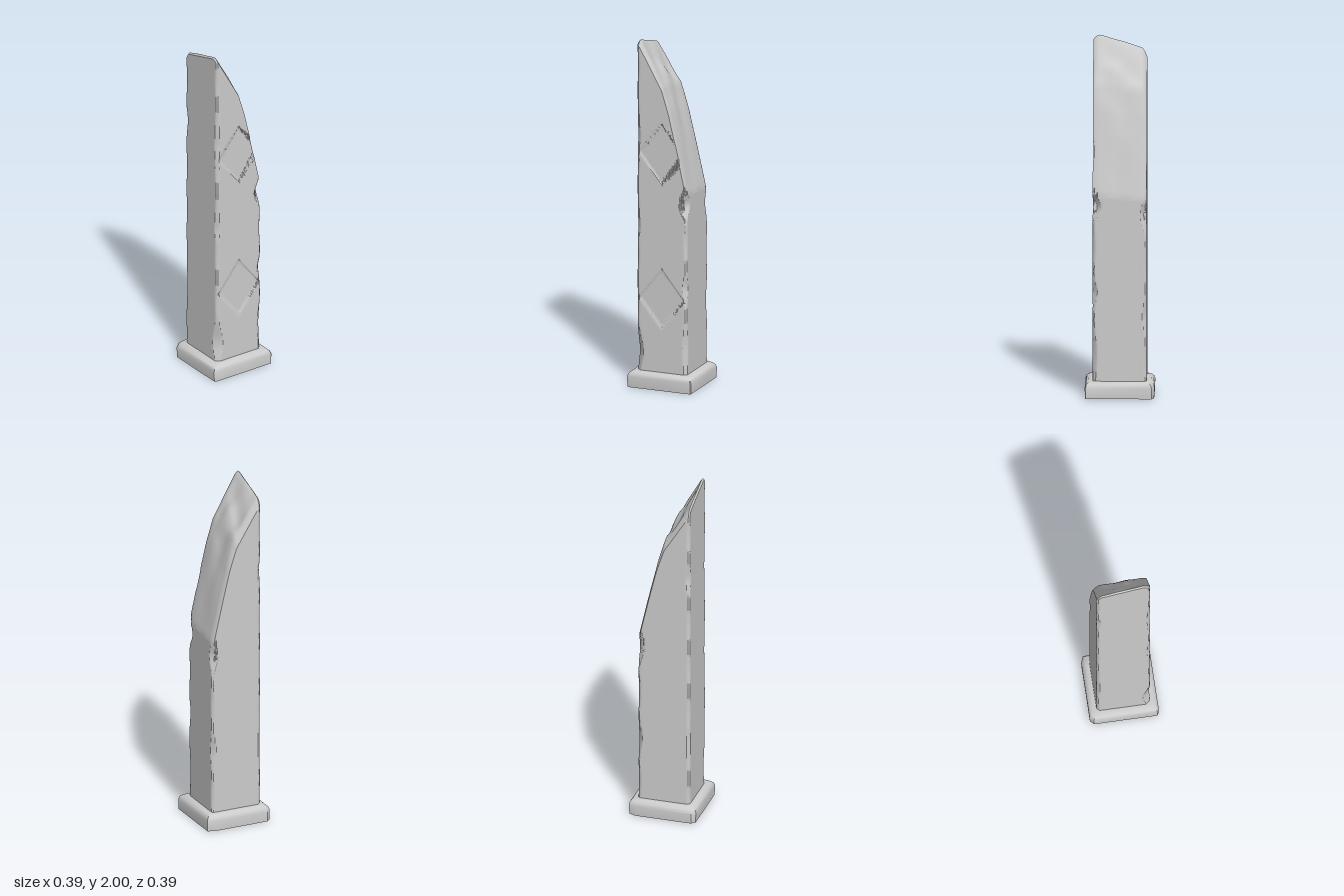
import * as THREE from 'three';
import { toCreasedNormals } from 'three/addons/utils/BufferGeometryUtils.js';

const H = 0.15; // half width of the shaft
const stone = new THREE.MeshStandardMaterial({ color: 0xcccccc });
const { clamp, smoothstep, lerp } = THREE.MathUtils;

// Slanted break, as (z, y) from the back edge to the front peak
const breakLine = [[-0.15, 1.13], [-0.12, 1.27], [-0.08, 1.45], [-0.04, 1.62],
  [0, 1.75], [0.05, 1.84], [0.1, 1.93], [0.14, 2.0], [0.15, 1.99]];

// Chips along the vertical edges: sign x, sign z, height, spread, depth
const chips = [
  [1, -1, 1.07, 0.06, 0.035], [1, -1, 0.6, 0.05, 0.012], [1, -1, 0.2, 0.12, 0.012],
  [1, 1, 0.2, 0.12, 0.026], [1, 1, 0.92, 0.06, 0.012], [1, 1, 1.45, 0.07, 0.012],
  [-1, -1, 1.03, 0.07, 0.022], [-1, -1, 0.45, 0.08, 0.01],
  [-1, 1, 0.5, 0.06, 0.008], [-1, 1, 1.5, 0.05, 0.008],
];

function breakHeight(x, z) {
  let i = 0;
  while (i < breakLine.length - 2 && z > breakLine[i + 1][0]) i++;
  const [a, b] = [breakLine[i], breakLine[i + 1]];
  let y = lerp(a[1], b[1], clamp((z - a[0]) / (b[0] - a[0]), 0, 1));
  const front = (z + H) / (2 * H);
  // lower towards -x, rounded at both sides
  y -= lerp(0.02, 0.07, front) * Math.max(0, 0.11 - x) / 0.23;
  const rim = clamp((Math.abs(x) - 0.115) / 0.035, 0, 1);
  y -= rim * rim * (x < 0 ? 0.045 : 0.025);
  // shallow lumps over the broken stone
  const inner = (1 - (x / H) ** 2) * (1 - (z / H) ** 2);
  return y + inner * 0.012 * (Math.sin(x * 38 + z * 21) + Math.sin(z * 60 - x * 17));
}

function edgeCut(sx, sz, y) {
  let c = 0.012 + 0.003 * Math.sin(y * 23 + sx * 2 + sz);
  for (const [cx, cz, cy, spread, depth] of chips)
    if (cx === sx && cz === sz) c += depth * Math.exp(-(((y - cy) / spread) ** 2));
  return c;
}

// 1 inside a diamond on the side face, 0 outside
function diamond(y, z, cy) {
  return 1 - smoothstep(Math.abs(z) / 0.14 + Math.abs(y - cy) / 0.175, 0.94, 1.0);
}

function shaftGeometry() {
  const geo = new THREE.BoxGeometry(2 * H, 1, 2 * H, 36, 190, 36);
  const p = geo.attributes.position;
  for (let i = 0; i < p.count; i++) {
    let x = p.getX(i), z = p.getZ(i);
    const y = lerp(0.07, breakHeight(x, z), p.getY(i) + 0.5);
    const sx = x < 0 ? -1 : 1, sz = z < 0 ? -1 : 1;
    const onSide = x > H - 1e-4;
    // worn edges
    const over = Math.abs(x) + Math.abs(z) - (2 * H - edgeCut(sx, sz, y));
    if (over > 0) {
      x -= sx * over / 2;
      z -= sz * over / 2;
    }
    // sunken diamonds
    if (onSide) x -= 0.006 * Math.max(diamond(y, z, 0.52), diamond(y, z, 1.36));
    p.setXYZ(i, x, y, z);
  }
  geo.deleteAttribute('normal');
  geo.deleteAttribute('uv');
  return toCreasedNormals(geo, 0.6);
}

// Plinth: an outline with broken corners, stacked and bevelled at the top
function plinthGeometry() {
  const corners = [[1, 1, 0.008, 0.015], [1, -1, 0.004, 0.004], [-1, -1, 0.015, 0.04], [-1, 1, 0.02, 0.022]];
  const levels = [[0, 0.192], [0.06, 0.194], [0.077, 0.188], [0.09, 0.174], [0.094, 0.158]];
  const pos = [], index = [], n = 8;
  for (const [y, r] of levels)
    corners.forEach(([sx, sz, cx, cz], k) => {
      const alongX = [sx * (r - cx), y, sz * r], alongZ = [sx * r, y, sz * (r - cz)];
      pos.push(...(k % 2 ? [...alongZ, ...alongX] : [...alongX, ...alongZ]));
    });
  for (let l = 0; l < levels.length - 1; l++)
    for (let i = 0; i < n; i++) {
      const a = l * n + i, b = l * n + (i + 1) % n;
      index.push(a, b, b + n, a, b + n, a + n);
    }
  const top = (levels.length - 1) * n;
  for (let i = 1; i < n - 1; i++) index.push(0, i + 1, i, top, top + i, top + i + 1);
  const geo = new THREE.BufferGeometry();
  geo.setAttribute('position', new THREE.Float32BufferAttribute(pos, 3));
  geo.setIndex(index);
  return toCreasedNormals(geo, 0.7);
}

export function createModel() {
  const model = new THREE.Group();
  model.name = 'brokenPillar';
  const add = (name, geo) => {
    const mesh = new THREE.Mesh(geo, stone);
    mesh.name = name;
    model.add(mesh);
  };
  add('plinth', plinthGeometry());
  add('shaft', shaftGeometry());
  return model;
}
